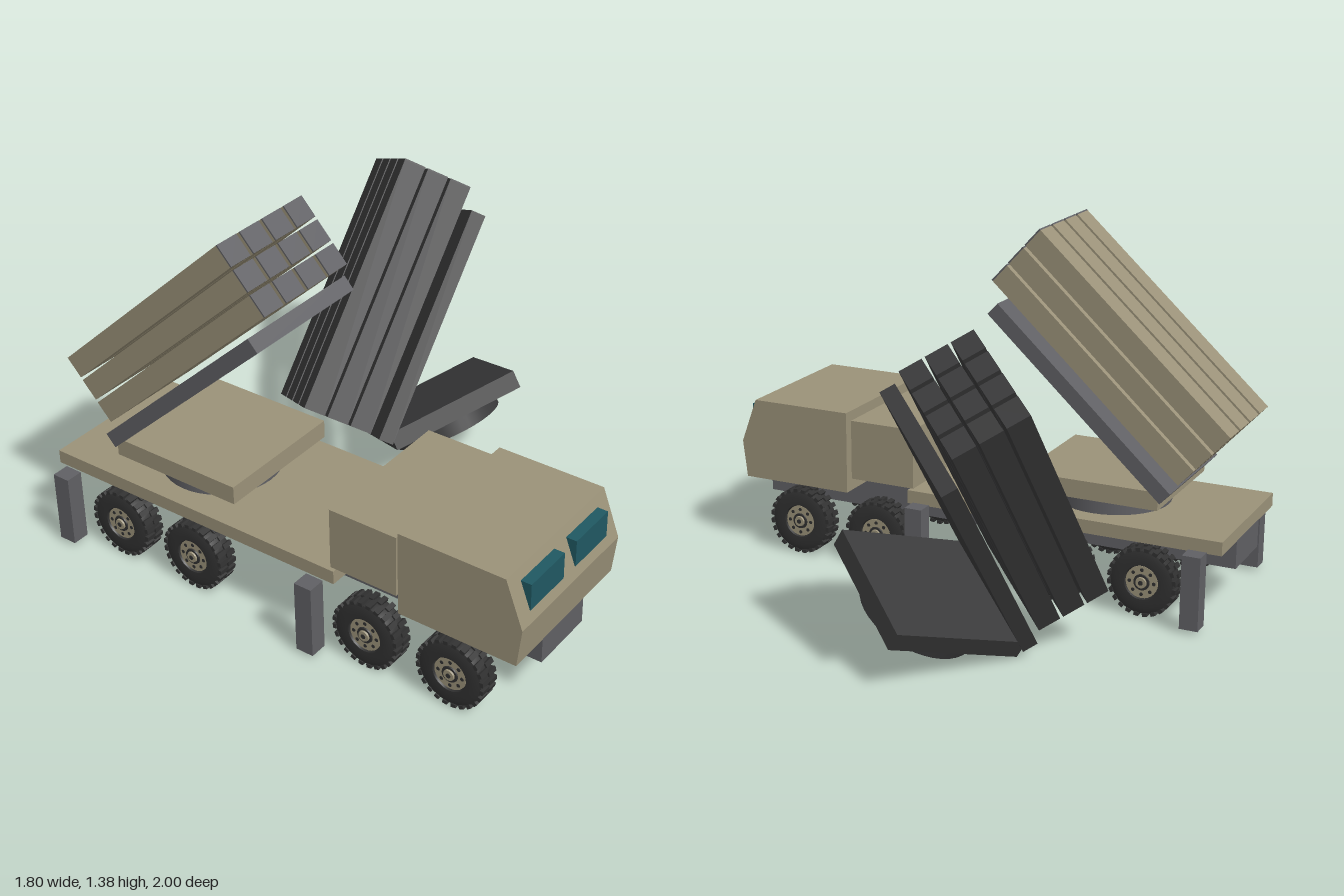
import * as THREE from 'three';
import { toCreasedNormals } from 'three/addons/utils/BufferGeometryUtils.js';

const material = (name, color) => {
  const m = new THREE.MeshStandardMaterial({ color });
  m.name = name;
  return m;
};

export function createModel() {
  const tan = material('sand paint', 0x9b9279);
  const grey = material('steel grey', 0x606064);
  const dark = material('dark launcher grey', 0x3a3a3b);
  const rubber = material('tyre rubber', 0x313131);
  const glass = material('teal glass', 0x205862);

  const add = (parent, name, geometry, mat, x = 0, y = 0, z = 0) => {
    const mesh = new THREE.Mesh(geometry, mat);
    mesh.name = name;
    mesh.position.set(x, y, z);
    parent.add(mesh);
    return mesh;
  };
  const box = (parent, name, mat, w, h, d, x, y, z) =>
    add(parent, name, new THREE.BoxGeometry(w, h, d), mat, x, y, z);
  const group = (parent, name) => {
    const g = new THREE.Group();
    g.name = name;
    parent.add(g);
    return g;
  };

  const model = new THREE.Group();
  model.name = 'missileLauncherTruck';
  const truck = group(model, 'truck');
  truck.position.x = -0.507;

  // Chassis and flatbed
  box(truck, 'chassis', grey, 0.258, 0.11, 1.975, 0, 0.23, -0.0125);
  box(truck, 'flatbed', tan, 0.6, 0.052, 1.26, 0, 0.309, -0.37);
  box(truck, 'equipmentBox', tan, 0.578, 0.235, 0.27, 0, 0.4575, 0.375);

  // Cab, a side profile extruded across the truck
  const profile = new THREE.Shape([
    [0.525, 0.283], [0.982, 0.283], [1, 0.43], [0.935, 0.606], [0.525, 0.606],
  ].map(([z, y]) => new THREE.Vector2(z, y)));
  const cabGeometry = new THREE.ExtrudeGeometry(profile, { depth: 0.602, bevelEnabled: false });
  cabGeometry.translate(0, 0, -0.301).rotateY(-Math.PI / 2);
  add(truck, 'cab', cabGeometry, tan);
  for (const s of [-1, 1])
    box(truck, 'windscreen', glass, 0.2, 0.1, 0.05, s * 0.137, 0.518, 0.964);

  // Stabiliser legs
  for (const s of [-1, 1])
    for (const z of [0.193, -0.915])
      box(truck, 'stabiliserLeg', grey, 0.067, 0.28, 0.07, s * 0.351, 0.155, z);

  // Wheels, made facing +y and then turned outward
  const tyreProfile = [
    [0, -0.04], [0.1, -0.043], [0.121, -0.036], [0.126, 0], [0.121, 0.036],
    [0.1, 0.043], [0.066, 0.041], [0.063, 0.03], [0, 0.03],
  ].map(([r, y]) => new THREE.Vector2(r, y));
  const tyreGeometry = toCreasedNormals(new THREE.LatheGeometry(tyreProfile, 32), 0.6);
  const rimGeometry = new THREE.CylinderGeometry(0.062, 0.062, 0.008, 28);
  const hubRing = new THREE.CylinderGeometry(0.03, 0.032, 0.008, 20);
  const hubGeometry = new THREE.CylinderGeometry(0.02, 0.024, 0.014, 16);
  const capGeometry = new THREE.CylinderGeometry(0.009, 0.009, 0.006, 12);
  const holeGeometry = new THREE.CylinderGeometry(0.007, 0.007, 0.004, 10);
  const lugGeometry = new THREE.BoxGeometry(0.014, 0.04, 0.018);

  const makeWheel = (side, z) => {
    const wheel = group(truck, 'wheel');
    wheel.position.set(side * 0.272, 0.134, z);
    wheel.rotation.z = -side * Math.PI / 2;
    add(wheel, 'tyre', tyreGeometry, rubber);
    add(wheel, 'rim', rimGeometry, tan, 0, 0.031, 0);
    add(wheel, 'hubRing', hubRing, rubber, 0, 0.036, 0);
    add(wheel, 'hub', hubGeometry, tan, 0, 0.039, 0);
    add(wheel, 'hubCap', capGeometry, rubber, 0, 0.045, 0);
    for (let i = 0; i < 8; i++) {
      const a = i * Math.PI / 4;
      add(wheel, 'rimHole', holeGeometry, rubber, 0.047 * Math.cos(a), 0.0345, 0.047 * Math.sin(a));
    }
    // Two staggered rows of tread lugs
    for (let i = 0; i < 48; i++) {
      const a = i * Math.PI / 24;
      const lug = add(wheel, 'treadLug', lugGeometry, rubber,
        0.1255 * Math.cos(a), i % 2 ? 0.021 : -0.021, 0.1255 * Math.sin(a));
      lug.rotation.y = -a;
    }
  };
  for (const side of [-1, 1])
    for (const z of [0.737, 0.394, -0.362, -0.705]) makeWheel(side, z);

  // Launcher: turntable, slab, tilted cradle and twelve tubes
  const makeLauncher = (name, tubeMat, slabMat, steelMat) => {
    const launcher = group(model, name);
    add(launcher, 'turntable', new THREE.CylinderGeometry(0.222, 0.222, 0.062, 40), steelMat, 0, 0.031, 0.049);
    box(launcher, 'turntableSlab', slabMat, 0.515, 0.07, 0.538, 0, 0.097, 0.049);

    const pod = group(launcher, 'tubePod');
    pod.rotation.x = -0.7396;
    box(pod, 'cradle', steelMat, 0.523, 0.058, 0.933, 0, 0.25, 0.3585);
    for (let col = 0; col < 4; col++)
      for (let row = 0; row < 3; row++) {
        const x = (col - 1.5) * 0.1147;
        const y = 0.3485 + row * 0.0965;
        box(pod, 'launchTube', tubeMat, 0.0975, 0.085, 1.004, x, y, 0.4);
        box(pod, 'tubeCap', steelMat, 0.0975, 0.085, 0.006, x, y, 0.905);
      }
    return launcher;
  };

  const mounted = makeLauncher('mountedLauncher', tan, tan, grey);
  mounted.position.set(-0.507, 0.335, -0.517);

  // Second launcher, tipped over beside the truck
  const loose = makeLauncher('looseLauncher', dark, dark, dark);
  loose.position.set(0.378, 0.118, -0.133);
  loose.rotation.set(-0.515, 0.972, 0);

  return model;
}
